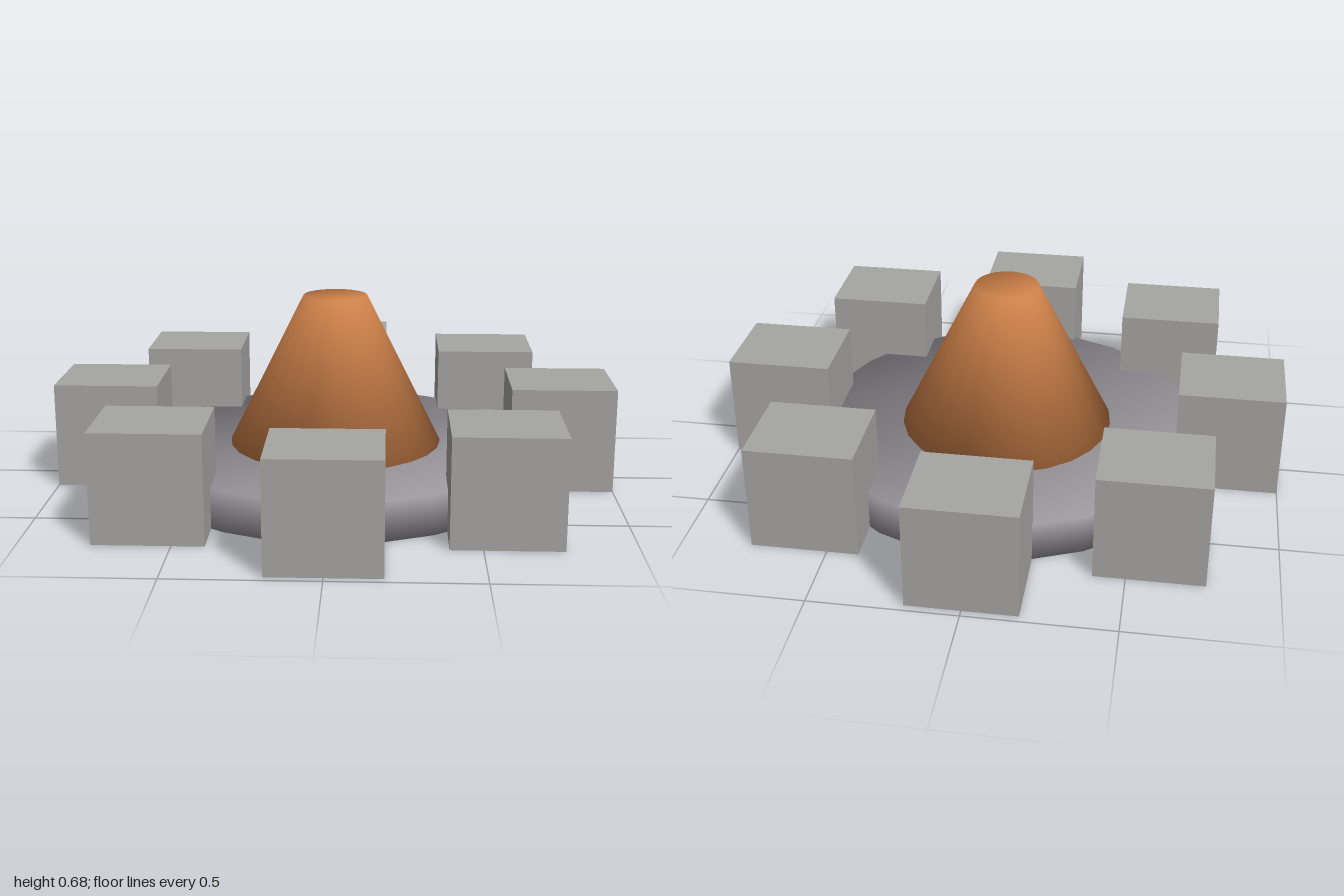
import * as THREE from 'three';

const SIDES = 24;

// Closed frustum with soft, rim-averaged normals running across sides and caps
function softFrustum(rBottom, rTop, height) {
  const pos = [], nor = [], idx = [];
  const slope = new THREE.Vector2(height, rBottom - rTop).normalize();
  const capWeight = 1 - 2 / SIDES;
  for (const [r, y, sign] of [[rBottom, 0, -1], [rTop, height, 1]]) {
    for (let i = 0; i < SIDES; i++) {
      const a = (i / SIDES) * Math.PI * 2;
      const n = new THREE.Vector3(
        Math.cos(a) * slope.x, slope.y + sign * capWeight, Math.sin(a) * slope.x
      ).normalize();
      pos.push(r * Math.cos(a), y, r * Math.sin(a));
      nor.push(n.x, n.y, n.z);
    }
  }
  for (let i = 0; i < SIDES; i++) {
    const j = (i + 1) % SIDES;
    idx.push(i, i + SIDES, j, j, i + SIDES, j + SIDES);          // side
    if (i > 0 && j > 0) {
      idx.push(0, i, j);                                         // bottom cap
      idx.push(SIDES, j + SIDES, i + SIDES);                     // top cap
    }
  }
  const g = new THREE.BufferGeometry();
  g.setAttribute('position', new THREE.Float32BufferAttribute(pos, 3));
  g.setAttribute('normal', new THREE.Float32BufferAttribute(nor, 3));
  g.setIndex(idx);
  return g;
}

function addMesh(parent, name, geometry, material, x, y, z) {
  const mesh = new THREE.Mesh(geometry, material);
  mesh.name = name;
  mesh.position.set(x, y, z);
  parent.add(mesh);
}

export function createModel() {
  const model = new THREE.Group();
  model.name = 'firePit';

  const stoneMat = new THREE.MeshStandardMaterial({ color: 0xa6a5a2 });
  const ashMat = new THREE.MeshStandardMaterial({ color: 0x99969c });
  const flameMat = new THREE.MeshStandardMaterial({ color: 0xcc8049 });

  // Low round bed and the blunt flame cone standing on it
  addMesh(model, 'ashBed', softFrustum(0.7, 0.7, 0.14), ashMat, 0, 0, 0);
  addMesh(model, 'flame', softFrustum(0.385, 0.115, 0.54), flameMat, 0, 0.14, 0);

  // Eight axis-aligned stone blocks around the rim
  const stones = new THREE.Group();
  stones.name = 'stoneRing';
  const stone = new THREE.BoxGeometry(0.37, 0.375, 0.32);
  for (let i = 0; i < 8; i++) {
    const a = (i / 8) * Math.PI * 2;
    addMesh(stones, `stone${i + 1}`, stone, stoneMat,
      0.815 * Math.cos(a), 0.1875, 0.815 * Math.sin(a));
  }
  model.add(stones);
  return model;
}
